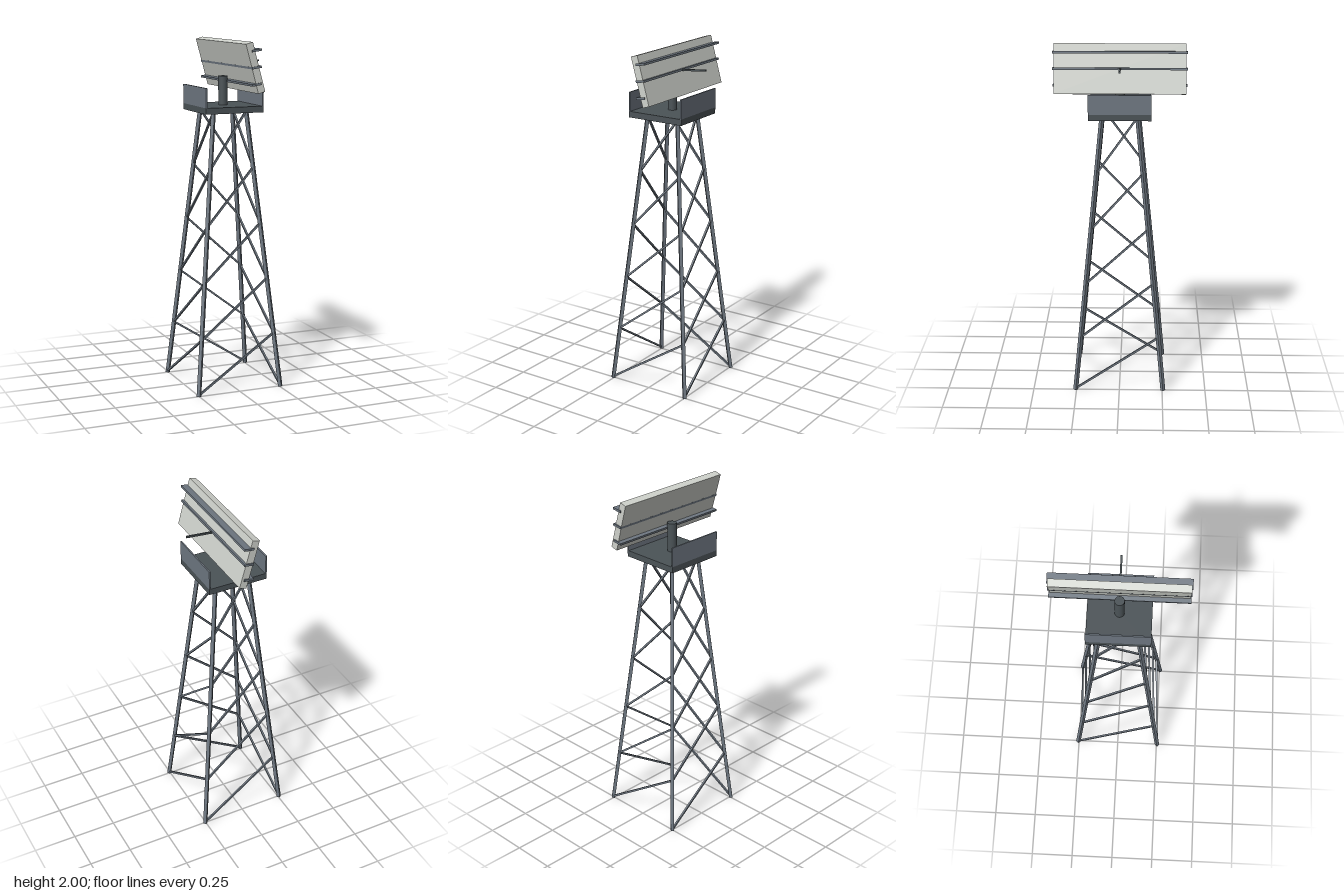
import * as THREE from 'three';

const mat = (name, color) => {
  const m = new THREE.MeshStandardMaterial({ color });
  m.name = name;
  return m;
};

export function createModel() {
  const group = new THREE.Group();
  const steel = mat('steel', 0x6f7882);
  const darkSteel = mat('darkSteel', 0x4b5357);
  const panelGrey = mat('panelGrey', 0xcfd2cc);

  const add = (name, geometry, material, x = 0, y = 0, z = 0, parent = group) => {
    const mesh = new THREE.Mesh(geometry, material);
    mesh.name = name;
    mesh.position.set(x, y, z);
    parent.add(mesh);
    return mesh;
  };
  const box = (name, w, h, d, material, x, y, z, parent) =>
    add(name, new THREE.BoxGeometry(w, h, d), material, x, y, z, parent);

  // Square bar from a to b, one side turned towards the outward direction
  const beam = (name, a, b, width, out) => {
    const dir = b.clone().sub(a);
    const length = dir.length();
    dir.normalize();
    const side = new THREE.Vector3().crossVectors(dir, out).normalize();
    const face = new THREE.Vector3().crossVectors(side, dir);
    const mesh = box(name, width, length, width, steel);
    mesh.quaternion.setFromRotationMatrix(new THREE.Matrix4().makeBasis(side, dir, face));
    mesh.position.copy(a).add(b).multiplyScalar(0.5);
  };

  // Tower: four tapering legs, one diagonal per bay climbing round the sides
  const top = 1.6, bays = 5;
  const corners = [[-1, 1], [1, 1], [1, -1], [-1, -1]];
  const corner = (i, y) => {
    const r = THREE.MathUtils.lerp(0.255, 0.1, y / top);
    const [sx, sz] = corners[i % 4];
    return new THREE.Vector3(sx * r, y, sz * r);
  };
  for (let i = 0; i < 4; i++) {
    const [ax, az] = corners[i], [bx, bz] = corners[(i + 1) % 4];
    beam('leg', corner(i, 0.002), corner(i, top), 0.02, new THREE.Vector3(ax, 0, az));
    const out = new THREE.Vector3(ax + bx, 0, az + bz);
    for (let k = 0; k < bays; k++) {
      const low = Math.max(0.01, (k * top) / bays);
      beam('brace', corner(i, low), corner(i + 1, ((k + 1) * top) / bays), 0.011, out);
    }
  }

  // Platform with a guard plate on either side
  box('platform', 0.35, 0.035, 0.35, darkSteel, 0, 1.613, 0);
  for (const s of [-1, 1]) box('guardPlate', 0.008, 0.112, 0.35, steel, s * 0.171, 1.685, 0);

  // Mast
  add('mast', new THREE.CylinderGeometry(0.027, 0.027, 0.165, 16), darkSteel, 0, 1.7125, 0);

  // Tilted antenna panel
  const panel = box('antennaPanel', 0.042, 0.28, 0.736, panelGrey, 0.038, 1.859, 0);
  panel.rotation.z = THREE.MathUtils.degToRad(15.5);

  // Rails running through the panel
  for (const y of [1.954, 1.862, 1.769]) {
    const rail = box('rail', 0.056, 0.012, 0.75, steel, 0.043, y, 0);
    rail.rotation.z = THREE.MathUtils.degToRad(8);
  }

  // Feed boom
  const boom = box('feedBoom', 0.2, 0.01, 0.01, darkSteel, 0.122, 1.868, 0);
  boom.rotation.z = THREE.MathUtils.degToRad(5);

  return group;
}
